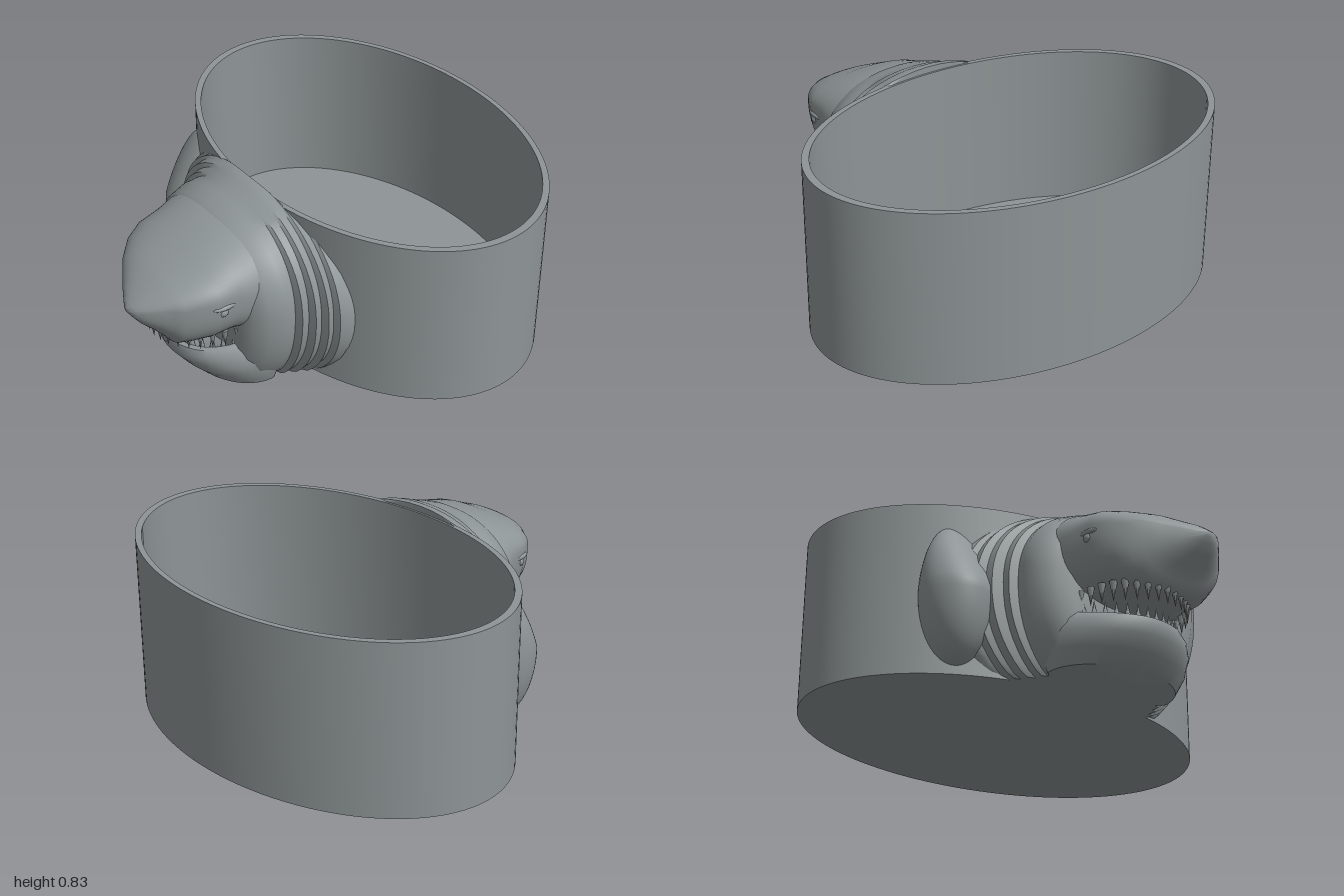
import * as THREE from 'three';
import { toCreasedNormals } from 'three/addons/utils/BufferGeometryUtils.js';

const POT = { rx: 0.975, rz: 0.65, z: -0.35, h: 0.8 };

// Skin closed rings of [x, y, z] points into one surface
function loft(rings, crease = 0.7) {
  const n = rings[0].length, index = [];
  for (let r = 0; r < rings.length - 1; r++) {
    for (let i = 0; i < n; i++) {
      const j = (i + 1) % n, a = r * n + i, b = r * n + j;
      index.push(a, b, b + n, a, b + n, a + n);
    }
  }
  const g = new THREE.BufferGeometry();
  g.setAttribute('position', new THREE.Float32BufferAttribute(rings.flat(2), 3));
  g.setIndex(index);
  return toCreasedNormals(g, crease);
}

// Keep points above the ground and out of the pot's hollow
function outside([x, y, z]) {
  const q = Math.max(0, 1 - (x / (POT.rx - 0.018)) ** 2);
  return [x, Math.max(0, y), Math.max(z, POT.z + (POT.rz - 0.013) * Math.sqrt(q))];
}

// Rounded upright section: z, centre x, half width, bottom, top, widest height
function section([z, cx, hw, yb, yt, yw], pTop, pLow, n = 64) {
  const pow = (v, p) => Math.sign(v) * Math.abs(v) ** p;
  return Array.from({ length: n }, (_, i) => {
    const t = (i / n) * Math.PI * 2, s = Math.sin(t), p = s > 0 ? pTop : pLow;
    const y = yw + pow(s, p) * (s > 0 ? yt - yw : yw - yb);
    return outside([cx + hw * pow(Math.cos(t), p), y, z]);
  });
}

export function createModel() {
  const model = new THREE.Group();
  const grey = new THREE.MeshStandardMaterial({ color: 0x8e9596 });
  grey.name = 'grey';
  const add = (name, geometry, parent = model) => {
    const m = new THREE.Mesh(geometry, grey);
    m.name = name;
    parent.add(m);
    return m;
  };

  // Oval pot
  const profile = [[0, 0], [0.975, 0], [0.975, 0.8], [0.94, 0.8], [0.94, 0.04], [0, 0.04]]
    .map(([x, y]) => new THREE.Vector2(x, y));
  const pot = new THREE.LatheGeometry(profile, 128);
  pot.scale(1, 1, POT.rz / POT.rx);
  add('ovalPot', toCreasedNormals(pot, 0.6)).position.z = POT.z;

  // Neck with stepped gill folds, tapering into the cheeks
  add('neckAndGills', loft([
    [0.10, 0.00, 0.60, -0.12, 0.78, 0.36],
    [0.19, 0.00, 0.61, -0.12, 0.80, 0.36],
    [0.235, 0.01, 0.59, -0.12, 0.82, 0.37],
    [0.245, 0.01, 0.555, -0.12, 0.825, 0.37],
    [0.28, 0.02, 0.56, -0.12, 0.83, 0.38],
    [0.29, 0.02, 0.52, -0.12, 0.83, 0.38],
    [0.325, 0.03, 0.52, -0.12, 0.825, 0.39],
    [0.335, 0.035, 0.475, -0.12, 0.82, 0.40],
    [0.37, 0.04, 0.475, -0.12, 0.81, 0.40],
    [0.38, 0.04, 0.435, -0.12, 0.805, 0.40],
    [0.43, 0.04, 0.44, -0.12, 0.79, 0.42],
    [0.50, 0.04, 0.42, -0.10, 0.765, 0.42],
    [0.55, 0.045, 0.36, -0.05, 0.735, 0.42],
    [0.57, 0.05, 0.30, 0.00, 0.70, 0.42],
    [0.57, 0.05, 0, 0.40, 0.40, 0.40],
  ].map((r) => section(r, 0.9, 0.95))));

  // Upper head and pointed snout, flat underneath for the mouth roof
  add('snout', loft([
    [0.42, 0.05, 0.36, 0.28, 0.765, 0.52],
    [0.52, 0.05, 0.36, 0.28, 0.755, 0.54],
    [0.60, 0.06, 0.335, 0.29, 0.73, 0.56],
    [0.70, 0.07, 0.325, 0.29, 0.695, 0.57],
    [0.78, 0.075, 0.285, 0.29, 0.66, 0.56],
    [0.83, 0.09, 0.245, 0.30, 0.64, 0.55],
    [0.86, 0.095, 0.215, 0.34, 0.625, 0.55],
    [0.90, 0.11, 0.165, 0.39, 0.60, 0.54],
    [0.95, 0.13, 0.10, 0.44, 0.57, 0.53],
    [0.98, 0.14, 0.055, 0.48, 0.545, 0.52],
    [0.997, 0.14, 0.02, 0.505, 0.53, 0.52],
    [1.0, 0.14, 0, 0.52, 0.52, 0.52],
  ].map((r) => section(r, 0.9, 0.75)), 0.9));

  // Lower jaw: level slices of height, half width and front depth, lip raised at the corners
  const jawRows = [
    [0, 0, 0.45], [0, 0.31, 0.645], [0.06, 0.345, 0.70], [0.12, 0.35, 0.745], [0.165, 0.33, 0.76],
    [0.195, 0.30, 0.755], [0.20, 0.28, 0.735], [0.17, 0.25, 0.70], [0.15, 0, 0.45],
  ];
  add('lowerJaw', loft(jawRows.map(([y, hw, zf]) => Array.from({ length: 64 }, (_, i) => {
    const t = (i / 64) * Math.PI * 2, s = -Math.sin(t);
    const raise = 0.08 * (y / 0.2) * (1 - Math.max(0, s)) ** 1.5;
    return outside([0.045 + hw * Math.cos(t), y + raise, 0.42 + s * (s > 0 ? zf - 0.42 : 0.08)]);
  })), 0.9));

  // Two rows of teeth around the jaw arcs
  const teeth = new THREE.Group();
  teeth.name = 'teeth';
  model.add(teeth);
  const upperTooth = new THREE.ConeGeometry(0.019, 0.10, 6);
  upperTooth.rotateX(Math.PI);
  const lowerTooth = new THREE.ConeGeometry(0.016, 0.08, 6);
  for (let i = 0; i < 17; i++) {
    const t = Math.PI * (0.07 + 0.86 * (i / 16)), c = Math.cos(t), s = Math.sin(t);
    const size = 0.8 + 0.2 * s;
    const up = add('upperTooth', upperTooth, teeth);
    up.position.set(0.05 + 0.26 * c, 0.285, 0.49 + 0.335 * s);
    up.scale.setScalar(size);
    const u = t + 0.08, low = add('lowerTooth', lowerTooth, teeth);
    low.position.set(0.045 + 0.265 * Math.cos(u), 0.225 + 0.08 * (1 - Math.sin(u)) ** 1.5, 0.43 + 0.295 * Math.sin(u));
    low.scale.setScalar(size);
  }

  // Eyes with a heavy lid above each
  for (const side of [-1, 1]) {
    const x = 0.068 + side * 0.31;
    add('eye', new THREE.SphereGeometry(0.024, 16, 12)).position.set(x, 0.515, 0.68);
    const lid = add('eyelid', new THREE.SphereGeometry(1, 20, 12));
    lid.scale.set(0.025, 0.016, 0.06);
    lid.position.set(x, 0.54, 0.67);
  }

  // Swollen skin fold where the right side of the neck meets the pot
  const fold = new THREE.SphereGeometry(1, 48, 32);
  fold.scale(0.16, 0.33, 0.17);
  fold.translate(-0.57, 0.37, 0.17);
  const p = fold.attributes.position;
  for (let i = 0; i < p.count; i++) {
    const y = p.getY(i), thin = 1 - 0.6 * Math.max(0, (y - 0.37) / 0.33);
    const z = 0.12 + (p.getZ(i) - 0.12) * thin;
    p.setXYZ(i, ...outside([p.getX(i), y, z]));
  }
  fold.computeVertexNormals();
  add('neckFold', fold);

  return model;
}
